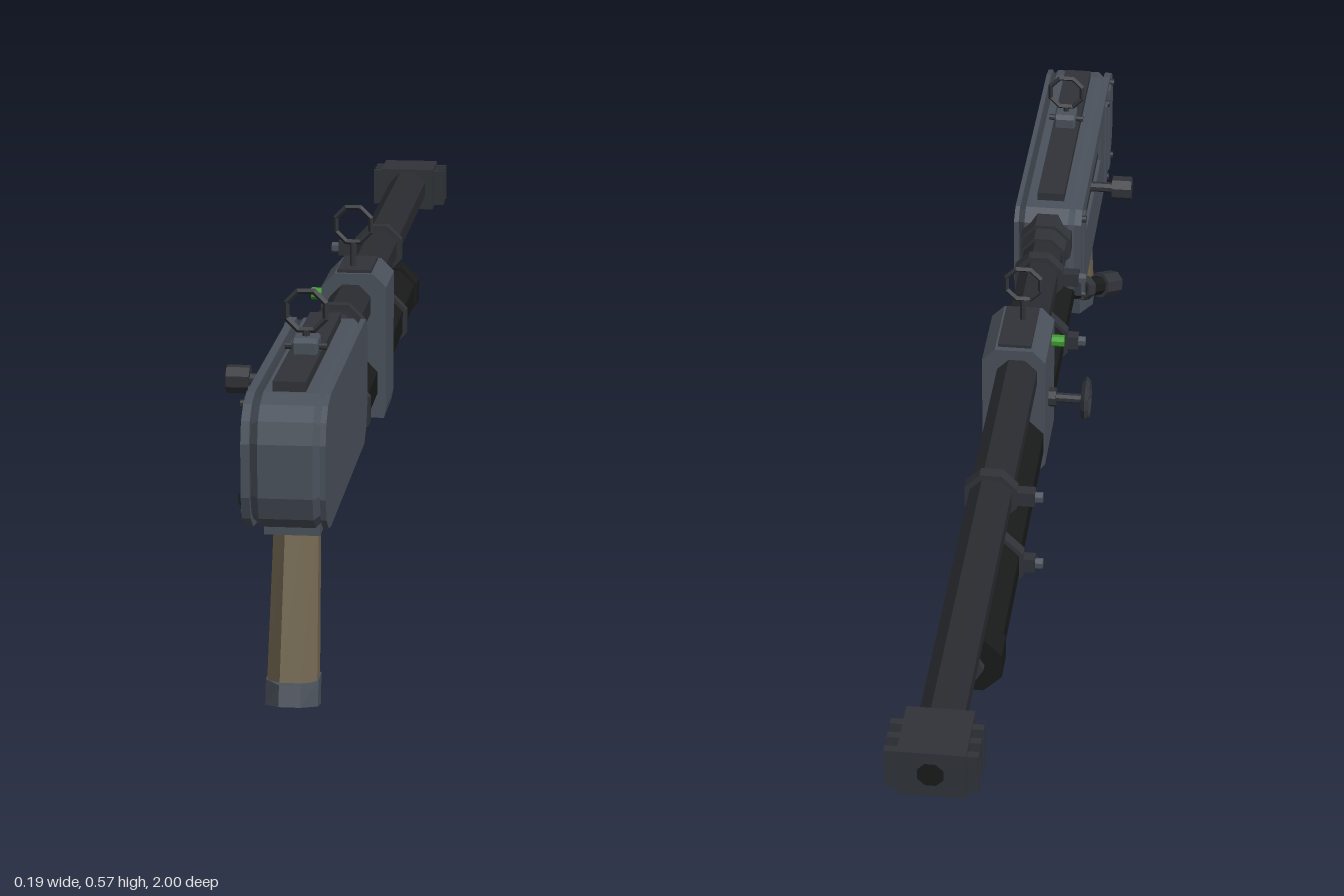
import * as THREE from 'three';

const mat = (color) => new THREE.MeshStandardMaterial({ color, flatShading: true });
const STEEL = mat(0x4b525c), DARK = mat(0x303338), BARREL = mat(0x2a2c31);
const TUBE = mat(0x191b1a), WOOD = mat(0x71654f), GREEN = mat(0x3a9a2a);
const CX = 0.03; // centre line of the weapon

export function createModel() {
  const root = new THREE.Group();

  const add = (name, geo, m, x = 0, y = 0, z = 0) => {
    const mesh = new THREE.Mesh(geo, m);
    mesh.name = name;
    mesh.position.set(x, y, z);
    root.add(mesh);
    return mesh;
  };
  // Box given by its extents
  const box = (name, m, x0, x1, y0, y1, z0, z1) =>
    add(name, new THREE.BoxGeometry(x1 - x0, y1 - y0, z1 - z0), m,
      (x0 + x1) / 2, (y0 + y1) / 2, (z0 + z1) / 2);
  // Cylinder between two points, flats turned up
  const rod = (name, m, a, b, ra, rb = ra, sides = 8) => {
    const p = new THREE.Vector3(...a), q = new THREE.Vector3(...b);
    const geo = new THREE.CylinderGeometry(rb, ra, p.distanceTo(q), sides);
    geo.rotateY(Math.PI / sides);
    const mesh = add(name, geo, m);
    mesh.position.copy(p).add(q).multiplyScalar(0.5);
    mesh.quaternion.setFromUnitVectors(new THREE.Vector3(0, 1, 0), q.sub(p).normalize());
    return mesh;
  };
  const along = (name, m, y, z0, z1, r, sides = 8) =>
    rod(name, m, [CX, y, z0], [CX, y, z1], r, r, sides);
  // Side outline of (z, y) points extruded from x0 to x1
  const slab = (name, m, pts, x0, x1, bevel = 0, hole = null) => {
    const toV = ([z, y]) => new THREE.Vector2(-z, y);
    const shape = new THREE.Shape(pts.map(toV));
    if (hole) shape.holes.push(new THREE.Path(hole.map(toV)));
    const geo = new THREE.ExtrudeGeometry(shape, {
      depth: x1 - x0 - 2 * bevel, bevelEnabled: bevel > 0, bevelThickness: bevel,
      bevelSize: bevel, bevelOffset: -bevel, bevelSegments: 1,
    });
    geo.rotateY(Math.PI / 2);
    return add(name, geo, m, x0 + bevel, 0, 0);
  };

  // Receiver: bevelled core between two side plates
  const outline = [[0.43, 0.335], [0.43, 0.45], [0.455, 0.467], [0.93, 0.467], [0.965, 0.458],
    [0.988, 0.44], [0.997, 0.41], [0.997, 0.335], [0.985, 0.303], [0.96, 0.285], [0.93, 0.28],
    [0.475, 0.28], [0.445, 0.3]];
  slab('receiver', STEEL, outline, -0.018, 0.081, 0.012);
  slab('leftSidePlate', STEEL, outline, 0.079, 0.087);
  const slot = [[0.52, 0.385], [0.52, 0.435], [0.77, 0.435], [0.77, 0.385]];
  slab('rightSidePlate', STEEL, outline, -0.029, -0.017, 0, slot);
  box('boltCarrier', DARK, -0.024, -0.01, 0.39, 0.43, 0.56, 0.77);
  for (const z of [0.46, 0.85, 0.91]) box('sideRib', STEEL, -0.033, -0.028, 0.292, 0.457, z - 0.012, z + 0.012);
  for (const z of [0.45, 0.86, 0.94]) for (const y of [0.3, 0.452])
    rod('plateScrew', DARK, [-0.036, y, z], [-0.028, y, z], 0.006);
  box('topRail', DARK, 0.006, 0.052, 0.466, 0.481, 0.48, 0.925);

  // Charging handle
  rod('handleShaft', DARK, [-0.07, 0.412, 0.63], [-0.015, 0.412, 0.63], 0.009);
  rod('handleKnob', DARK, [-0.098, 0.412, 0.63], [-0.064, 0.412, 0.63], 0.021);

  // Ring sights on posts
  const sight = (name, z, foot) => {
    const ring = add(name + 'Ring', new THREE.TorusGeometry(0.03, 0.0045, 4, 8), DARK, CX, 0.539, z);
    ring.rotation.z = Math.PI / 8;
    rod(name + 'Post', DARK, [CX, foot, z], [CX, 0.511, z], 0.0055);
  };
  sight('rearSight', 0.735, 0.48);
  sight('frontSight', 0.09, 0.465);
  slab('rearSightBase', STEEL, [[0.71, 0.48], [0.71, 0.497], [0.718, 0.503], [0.752, 0.503], [0.76, 0.497], [0.76, 0.48]],
    0.012, 0.049, 0.003);
  rod('rearSightPin', DARK, [0.0, 0.488, 0.735], [0.06, 0.488, 0.735], 0.005);

  // Barrel and muzzle brake
  along('barrel', BARREL, 0.418, 0.45, -0.92, 0.035);
  along('barrelCollar', DARK, 0.418, 0.445, 0.405, 0.046);
  along('barrelStep', DARK, 0.418, 0.41, 0.37, 0.04);
  box('muzzleBrake', DARK, -0.02, 0.077, 0.38, 0.455, -1, -0.9);
  for (const z of [-0.987, -0.957, -0.927]) box('brakeFin', DARK, -0.036, 0.096, 0.385, 0.449, z - 0.006, z + 0.006);
  rod('bore', TUBE, [CX, 0.418, -0.995], [CX, 0.418, -1.001], 0.02);

  // Lower tube with end cap
  along('lowerTube', TUBE, 0.292, 0.53, -0.56, 0.047);
  along('tubeCap', TUBE, 0.292, -0.543, -0.592, 0.052);
  along('tubeNub', DARK, 0.292, -0.59, -0.604, 0.022, 6);

  // Clamps: a band on each tube, a link between and a bolt on the right
  for (const z of [0.313, -0.328]) {
    along('barrelBand', DARK, 0.418, z - 0.01, z + 0.01, 0.044);
    along('tubeBand', DARK, 0.292, z - 0.01, z + 0.01, 0.054);
    box('clampLink', DARK, 0.018, 0.042, 0.335, 0.385, z - 0.008, z + 0.008);
    for (const y of [0.418, 0.292]) {
      box('clampLug', DARK, -0.038, -0.01, y - 0.012, y + 0.012, z - 0.01, z + 0.01);
      rod('clampBolt', STEEL, [-0.05, y, z], [-0.034, y, z], 0.009, 0.009, 6);
    }
  }

  // Block joining the two tubes, with chamfered upper edges
  const b = new THREE.Shape([[-0.016, 0.25], [-0.004, 0.234], [0.084, 0.234], [0.087, 0.25],
    [0.087, 0.447], [0.066, 0.468], [0.004, 0.468], [-0.016, 0.447]].map((p) => new THREE.Vector2(...p)));
  add('tubeBlock', new THREE.ExtrudeGeometry(b, { depth: 0.133, bevelEnabled: false }), STEEL);
  box('blockTopPlate', DARK, 0.008, 0.062, 0.464, 0.473, 0.01, 0.125);
  rod('blockLamp', GREEN, [-0.036, 0.428, 0.1], [-0.014, 0.428, 0.1], 0.01);

  // Valve wheel on the block
  const wy = 0.345, wz = 0.058;
  rod('wheelShaft', DARK, [-0.078, wy, wz], [-0.01, wy, wz], 0.008);
  rod('wheelFlange', DARK, [-0.028, wy, wz], [-0.012, wy, wz], 0.016);
  const rim = add('wheelRim', new THREE.TorusGeometry(0.031, 0.0065, 4, 12), DARK, -0.077, wy, wz);
  rim.rotation.y = Math.PI / 2;
  for (let i = 0; i < 3; i++) {
    const a = (i * Math.PI) / 3, dy = 0.03 * Math.cos(a), dz = 0.03 * Math.sin(a);
    rod('wheelSpoke', DARK, [-0.077, wy - dy, wz - dz], [-0.077, wy + dy, wz + dz], 0.004, 0.004, 4);
  }

  // Angled filler neck at the rear of the lower tube
  const neck = (t) => [0.015 - 0.08 * t, 0.27 - 0.047 * t, 0.5 + 0.115 * t];
  rod('fillerNeck', TUBE, neck(0), neck(1), 0.017);
  rod('fillerCollar', DARK, neck(0.4), neck(0.52), 0.022);
  rod('fillerCap', DARK, neck(0.76), neck(1.04), 0.023);

  // Grip, raked backwards, with a butt cap
  const gripAt = (y) => 0.84 + (0.27 - y) * 0.235;
  const section = (name, m, y0, y1, w0, w1, tilt0 = 0) => {
    const geo = new THREE.CylinderGeometry(w1, w0, y1 - y0, 8);
    geo.rotateY(Math.PI / 8);
    const p = geo.attributes.position;
    for (let i = 0; i < p.count; i++) {
      const y = p.getY(i) + (y0 + y1) / 2;
      const z = p.getZ(i) * 1.22;
      const drop = p.getY(i) < 0 ? tilt0 * z : 0;
      p.setXYZ(i, p.getX(i) + CX, y + drop, z + gripAt(y));
    }
    geo.computeVertexNormals();
    add(name, geo, m);
  };
  section('grip', WOOD, 0.045, 0.272, 0.038, 0.034, 0.2);
  section('gripCap', STEEL, 0.011, 0.05, 0.04, 0.04, 0.23);
  box('gripPlate', STEEL, -0.009, 0.069, 0.258, 0.284, 0.69, 0.905);

  // Trigger and guard
  const guard = [[0.26, 0.685], [0.212, 0.695], [0.194, 0.755], [0.208, 0.8], [0.215, 0.835]];
  for (let i = 0; i + 1 < guard.length; i++)
    rod('triggerGuard', DARK, [CX, ...guard[i]], [CX, ...guard[i + 1]], 0.006, 0.006, 6);
  rod('trigger', DARK, [CX, 0.262, 0.765], [CX, 0.218, 0.75], 0.007, 0.004, 6);

  return root;
}
